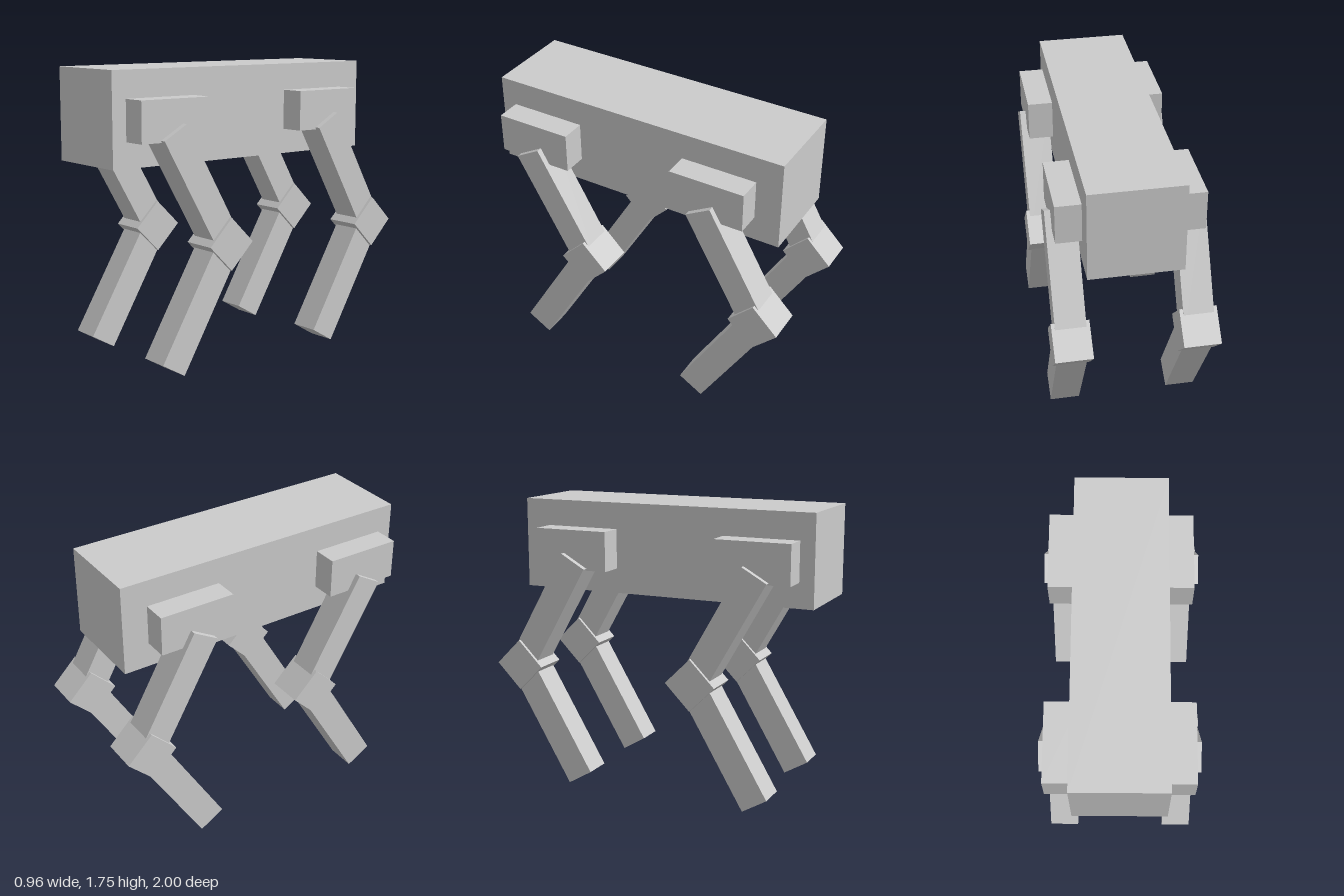
import * as THREE from 'three';

const material = new THREE.MeshStandardMaterial({ color: 0xcccccc, flatShading: true });

function box(name, size, position, tilt = 0) {
  const mesh = new THREE.Mesh(new THREE.BoxGeometry(...size), material);
  mesh.name = name;
  mesh.position.set(...position);
  mesh.rotation.x = tilt;
  return mesh;
}

// Leg segment running between two [y, z] points at a given x
function segment(name, x, from, to) {
  const dy = from[0] - to[0], dz = from[1] - to[1];
  const middle = [x, (from[0] + to[0]) / 2, (from[1] + to[1]) / 2];
  return box(name, [0.18, Math.hypot(dy, dz), 0.175], middle, Math.atan2(dz, dy));
}

// One leg: hip block, upper leg, diamond knee and lower leg
function createLeg(side) {
  const leg = new THREE.Group();
  const x = side * 0.37;
  const knee = [0.73, 0.323];
  leg.add(
    box('hip', [0.2, 0.24, 0.468], [side * 0.325, 1.47, 0.676]),
    segment('upperLeg', x, [1.405, 0.706], knee),
    box('knee', [0.22, 0.222, 0.222], [x, ...knee], Math.PI / 4),
    segment('lowerLeg', x, knee, [0.044, 0.731])
  );
  return leg;
}

export function createModel() {
  const model = new THREE.Group();
  model.name = 'fourLeggedRobot';

  // Body
  model.add(box('body', [0.55, 0.55, 1.88], [0, 1.475, 0.06]));

  // Two matching pairs of legs
  for (const [end, z] of [['front', 0], ['rear', -1.163]]) {
    for (const [sideName, side] of [['Left', 1], ['Right', -1]]) {
      const leg = createLeg(side);
      leg.name = `${end}${sideName}Leg`;
      leg.position.z = z;
      model.add(leg);
    }
  }
  return model;
}
